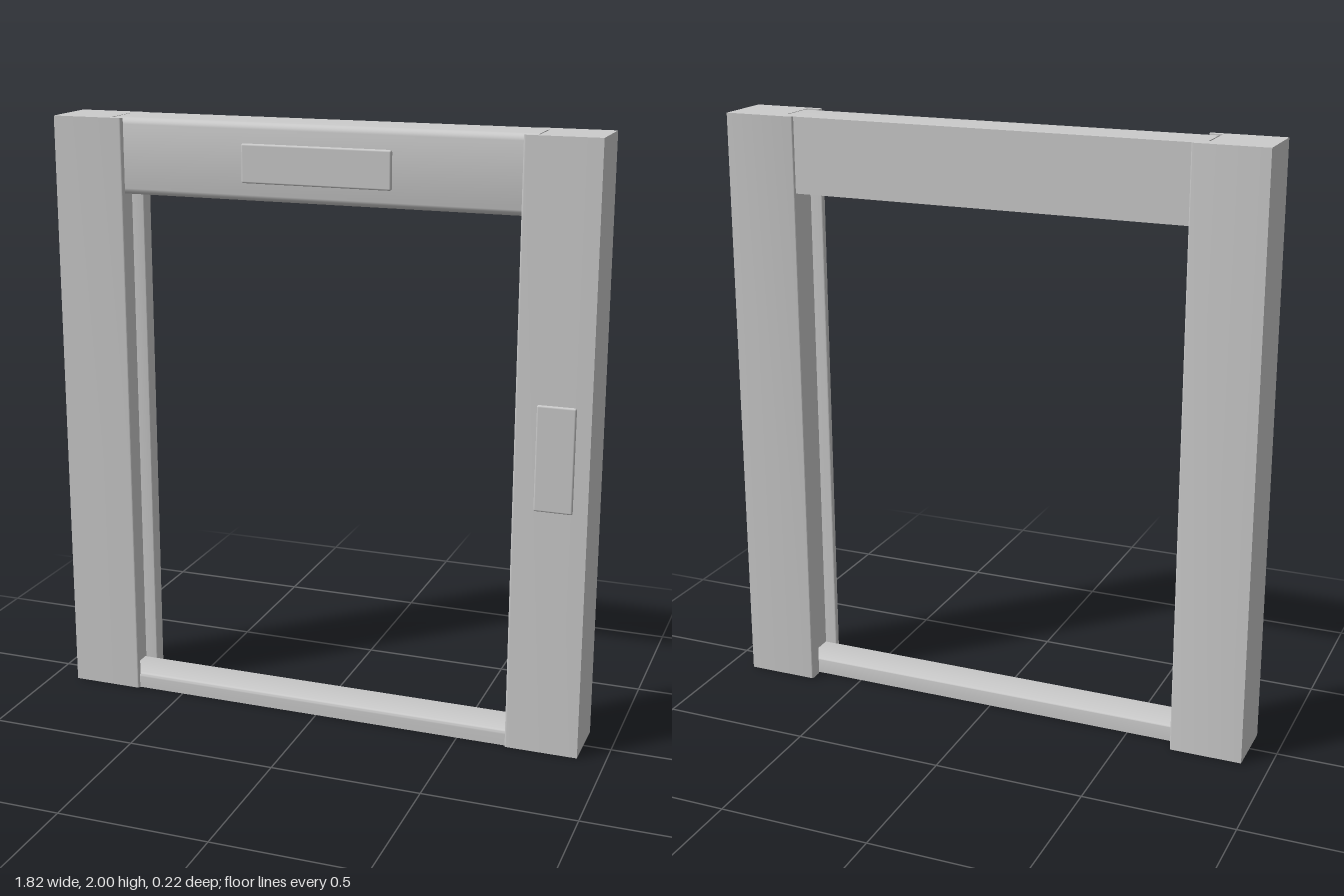
import * as THREE from 'three';
import { toCreasedNormals } from 'three/addons/utils/BufferGeometryUtils.js';
import { RoundedBoxGeometry } from 'three/addons/geometries/RoundedBoxGeometry.js';

const HEIGHT = 2, INNER = 0.665, OUTER = 0.908;
const material = new THREE.MeshStandardMaterial({ color: 0xcccccc, side: THREE.DoubleSide });

function mesh(name, geometry) {
  const m = new THREE.Mesh(geometry, material);
  m.name = name;
  return m;
}

// Outline from corners [x, y, radius]; a radius rounds that corner.
function outline(corners) {
  const shape = new THREE.Shape();
  const n = corners.length;
  corners.forEach(([x, y, r = 0], i) => {
    const toward = ([px, py]) => {
      const d = Math.hypot(px - x, py - y);
      return [x + ((px - x) * r) / d, y + ((py - y) * r) / d];
    };
    const a = toward(corners[(i + n - 1) % n]);
    const b = toward(corners[(i + 1) % n]);
    if (i === 0) shape.moveTo(...a);
    else shape.lineTo(...a);
    if (r) shape.quadraticCurveTo(x, y, ...b);
  });
  shape.closePath();
  return shape;
}

function extrude(corners, depth) {
  return new THREE.ExtrudeGeometry(outline(corners), { depth, bevelEnabled: false, curveSegments: 6 });
}

// Drops the faces lying on the floor, leaving a hollow shell.
function openBottom(geometry) {
  const src = geometry.attributes.position.array;
  const kept = [];
  for (let i = 0; i < src.length; i += 9) {
    const onFloor = [1, 4, 7].every((k) => Math.abs(src[i + k]) < 1e-5);
    if (!onFloor) kept.push(...src.slice(i, i + 9));
  }
  const g = new THREE.BufferGeometry();
  g.setAttribute('position', new THREE.Float32BufferAttribute(kept, 3));
  return g;
}

// Upright post with a channel down its inner side; side is +1 or -1.
function post(name, side) {
  const r = 0.008;
  const section = [
    [OUTER, -0.107], [OUTER, 0.1],
    [INNER, 0.1, r], [INNER, 0.08, r], [0.71, 0.08], [0.71, -0.055],
    [INNER, -0.055, r], [INNER, -0.107, r],
  ].map(([x, z, rad]) => [side * x, -z, rad]);
  const g = extrude(section, HEIGHT).rotateX(-Math.PI / 2);
  return mesh(name, toCreasedNormals(openBottom(g), 0.6));
}

// Horizontal rail between the posts, section given as [z, y, radius].
function rail(section, halfLength) {
  const g = extrude(section.map(([z, y, r]) => [-z, y, r]), 2 * halfLength);
  return g.rotateY(Math.PI / 2).translate(-halfLength, 0, 0);
}

// Thin raised plate with softened edges.
function plate(name, x, y, width, height, zBack, zFront) {
  const g = new RoundedBoxGeometry(width, height, zFront - zBack, 2, 0.006);
  return mesh(name, g.translate(x, y, (zBack + zFront) / 2));
}

export function createModel() {
  const model = new THREE.Group();
  model.name = 'doorFrame';

  model.add(post('leftPost', 1), post('rightPost', -1));

  // Header beam with rounded front edges
  const header = rail([[-0.1, 1.75], [-0.1, HEIGHT], [0.08, HEIGHT, 0.03], [0.08, 1.75, 0.03]], 0.705);
  model.add(mesh('header', toCreasedNormals(header, 0.6)));

  // Hollow threshold reaching into the channels of both posts
  const sill = rail([[-0.052, 0], [-0.052, 0.055, 0.008], [0.09, 0.055, 0.015], [0.09, 0]], 0.75);
  model.add(mesh('threshold', toCreasedNormals(openBottom(sill), 0.6)));

  // Sign plate on the header and control panel on the left post
  model.add(plate('signPlate', 0, 1.872, 0.5, 0.125, 0.06, 0.092));
  model.add(plate('controlPanel', 0.798, 1.002, 0.125, 0.345, 0.08, 0.108));

  return model;
}
